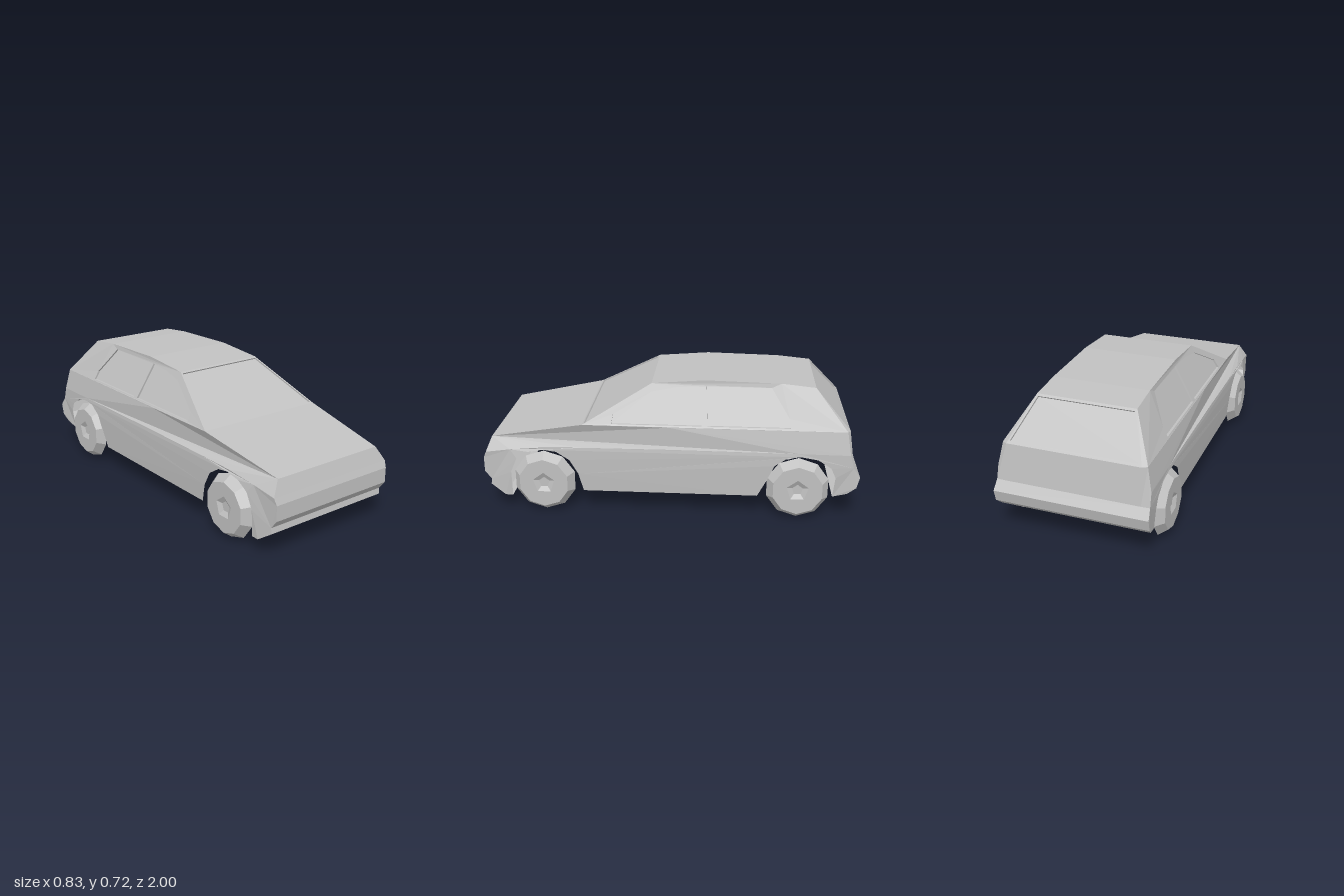
import * as THREE from 'three';

const paint = new THREE.MeshStandardMaterial({ color: 0xc0c0c0, flatShading: true, side: THREE.DoubleSide });
paint.name = 'grey paint';

function meshFrom(name, positions) {
  const geo = new THREE.BufferGeometry();
  geo.setAttribute('position', new THREE.Float32BufferAttribute(positions, 3));
  geo.computeVertexNormals();
  const mesh = new THREE.Mesh(geo, paint);
  mesh.name = name;
  return mesh;
}

// Fill an outline (with optional holes) of 3D points, facing +/- along axis 0 (x) or 2 (z)
function panel(name, outline, axis, sign, holes = []) {
  const flat = (p) => new THREE.Vector2(p[axis === 0 ? 2 : 0], p[1]);
  const points = [outline, ...holes].flat();
  const faces = THREE.ShapeUtils.triangulateShape(outline.map(flat), holes.map((h) => h.map(flat)));
  const out = [];
  for (const face of faces) {
    const [a, b, c] = face.map((i) => new THREE.Vector3(...points[i]));
    const n = b.clone().sub(a).cross(c.clone().sub(a));
    const tri = n.getComponent(axis) * sign < 0 ? [a, c, b] : [a, b, c];
    for (const v of tri) out.push(v.x, v.y, v.z);
  }
  return meshFrom(name, out);
}

// Panel with window openings, each closed by slightly recessed glass and a thin jamb
function glazedPanel(name, outline, axis, sign, holes, inset) {
  const group = new THREE.Group();
  group.name = name;
  group.add(panel(name + 'Frame', outline, axis, sign, holes));
  for (const hole of holes) {
    const sunk = hole.map((p) => p.map((v, k) => v + inset[k]));
    group.add(panel(name + 'Glass', sunk, axis, sign));
    const jamb = [];
    hole.forEach((a, i) => {
      const j = (i + 1) % hole.length;
      jamb.push(...a, ...hole[j], ...sunk[j], ...a, ...sunk[j], ...sunk[i]);
    });
    group.add(meshFrom(name + 'Jamb', jamb));
  }
  return group;
}

// Band across the car through rows of [halfWidth, y, z]
function band(name, rows) {
  const out = [];
  for (let i = 0; i + 1 < rows.length; i++) {
    const [w0, y0, z0] = rows[i], [w1, y1, z1] = rows[i + 1];
    out.push(-w0, y0, z0, w0, y0, z0, w1, y1, z1, -w0, y0, z0, w1, y1, z1, -w1, y1, z1);
  }
  return meshFrom(name, out);
}

// Symmetric four-cornered outline from a lower and an upper row
const crossQuad = ([w0, y0, z0], [w1, y1, z1]) =>
  [[-w0, y0, z0], [w0, y0, z0], [w1, y1, z1], [-w1, y1, z1]];

const noseRows = [
  [0.385, 0.08, 0.85], [0.385, 0.08, 0.89], [0.37, 0.135, 0.97], [0.37, 0.165, 0.965],
  [0.37, 0.21, 1.0], [0.37, 0.29, 1.0], [0.375, 0.325, 0.985], [0.33, 0.4, 0.957],
];
const cowl = [0.37, 0.493, 0.46];
const roofRows = [[0.257, 0.695, 0.1], [0.256, 0.717, -0.18], [0.256, 0.708, -0.58], [0.258, 0.69, -0.76]];
const rearBelt = [0.37, 0.49, -0.925];
const tailBelt = [0.345, 0.49, -0.94];
const tailFoot = [0.35, 0.3, -0.967];
const bumperRows = [[0.395, 0.3, -0.965], [0.4, 0.25, -1.0], [0.4, 0.19, -0.985], [0.39, 0.15, -0.94], [0.38, 0.127, -0.865]];

// Waist crease from rear to front, just above the wheel arches
const waist = [
  [0.394, 0.37, -0.945], [0.393, 0.372, -0.68], [0.393, 0.375, 0], [0.393, 0.372, 0.46],
  [0.39, 0.366, 0.67], [0.383, 0.347, 0.85], [0.375, 0.325, 0.985],
];
// Lower edge of the flank from front to rear: [y, z]
const lowerEdge = [
  [0.22, 0.85], [0.3, 0.815], [0.34, 0.75], [0.355, 0.67], [0.345, 0.6], [0.3, 0.53], [0.22, 0.485], [0.12, 0.46],
  [0.12, -0.47], [0.22, -0.52], [0.3, -0.555], [0.345, -0.62], [0.355, -0.69], [0.34, -0.78], [0.295, -0.85], [0.24, -0.875],
].map(([y, z]) => [0.385 + 0.01 * Math.min(1, (y - 0.12) / 0.15), y, z]);

// x of the inward-leaning side window plane at height y
const leanX = (y) => 0.37 - (y - 0.49) * 0.56;
const windowPoints = (list) => list.map(([y, z]) => [leanX(y), y, z]);
const sideWindows = [
  windowPoints([[0.5, 0.305], [0.545, 0.298], [0.655, 0.1], [0.678, -0.03], [0.685, -0.15], [0.5, -0.17]]),
  windowPoints([[0.5, -0.2], [0.685, -0.19], [0.685, -0.53], [0.545, -0.625], [0.5, -0.628]]),
];

function buildSide(s) {
  const side = new THREE.Group();
  side.name = s > 0 ? 'leftSide' : 'rightSide';
  const flip = (list) => list.map(([x, y, z]) => [s * x, y, z]);

  // Flank with wheel arches
  const noseEdge = noseRows.slice(0, 6).reverse();
  side.add(panel('flank', flip([...waist, ...noseEdge, ...lowerEdge, ...[...bumperRows].reverse()]), 0, s));
  // Shoulder between waist and belt line
  side.add(panel('shoulder', flip([...waist, noseRows[7], cowl, [0.37, 0.49, 0], rearBelt]), 0, s));
  // Side windows and pillars
  side.add(glazedPanel('sideWindows', flip([[0.37, 0.49, 0], cowl, ...roofRows, rearBelt]), 0, s,
    sideWindows.map(flip), [-s * 0.012, 0, 0]));
  // Chamfered rear corner
  side.add(panel('rearPillarCorner', flip([roofRows[3], rearBelt, tailBelt]), 2, -1));
  side.add(panel('tailCorner', flip([rearBelt, waist[0], bumperRows[0], tailFoot, tailBelt]), 2, -1));
  return side;
}

function buildWheel(s, z) {
  const wheel = new THREE.Group();
  wheel.name = (z > 0 ? 'front' : 'rear') + (s > 0 ? 'Left' : 'Right') + 'Wheel';
  const turned = (name, profile, sides) => {
    const geo = new THREE.LatheGeometry(profile.map((p) => new THREE.Vector2(...p)), sides, -s * Math.PI / 2);
    geo.rotateZ(-s * Math.PI / 2);
    const mesh = new THREE.Mesh(geo, paint);
    mesh.name = name;
    return mesh;
  };
  const ring = (r, n) => Array.from({ length: n }, (_, i) => {
    const a = (i / n) * Math.PI * 2;
    return [s * 0.047, r * Math.cos(a), r * Math.sin(a)];
  });
  // Bevelled tyre, flat face and a recessed five-sided hub
  wheel.add(turned('tyre', [[0.17, 0], [0.135, 0.047]], 10));
  wheel.add(panel('wheelFace', ring(0.135, 10), 0, s, [ring(0.06, 5)]));
  wheel.add(turned('hub', [[0, 0.032], [0.03, 0.032], [0.06, 0.047]], 5));
  wheel.position.set(s * 0.37, 0.17, z);
  return wheel;
}

export function createModel() {
  const car = new THREE.Group();
  car.name = 'car';

  // Nose, bonnet, roof and tail
  car.add(band('frontBumper', noseRows));
  car.add(band('bonnet', [noseRows[7], cowl]));
  car.add(band('roof', roofRows));
  car.add(band('tailgate', [tailBelt, tailFoot]));
  car.add(band('rearBumper', [tailFoot, ...bumperRows]));

  // Front and rear screens
  car.add(glazedPanel('windscreen', crossQuad(cowl, roofRows[0]), 2, 1,
    [crossQuad([0.359, 0.498, 0.451], [0.252, 0.689, 0.111])], [0, -0.007, -0.004]));
  car.add(glazedPanel('rearScreen', crossQuad(tailBelt, roofRows[3]), 2, -1,
    [crossQuad([0.33, 0.502, -0.929], [0.25, 0.68, -0.769])], [0, -0.007, 0.006]));

  for (const s of [1, -1]) {
    car.add(buildSide(s));
    for (const z of [0.67, -0.68]) car.add(buildWheel(s, z));
  }
  return car;
}
